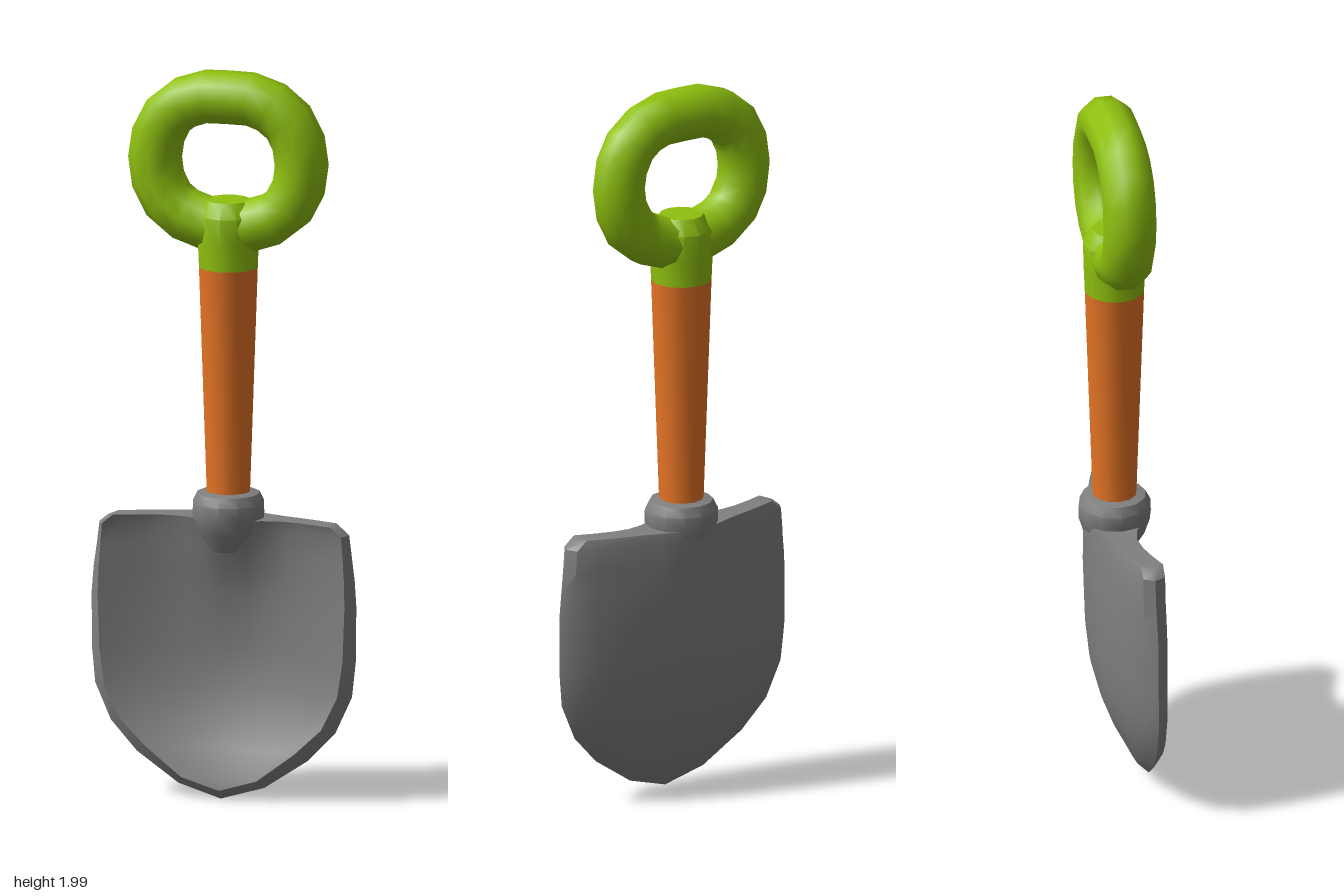
import * as THREE from 'three';
import { toCreasedNormals } from 'three/addons/utils/BufferGeometryUtils.js';

const green = new THREE.MeshStandardMaterial({ color: 0x8fc00f });
green.name = 'green grip';
const orange = new THREE.MeshStandardMaterial({ color: 0xe67425 });
orange.name = 'orange shaft';
const grey = new THREE.MeshStandardMaterial({ color: 0x808080 });
grey.name = 'grey metal';

function part(name, geometry, material) {
  const mesh = new THREE.Mesh(geometry, material);
  mesh.name = name;
  return mesh;
}

// Turned part from [radius, y] pairs, bottom to top
function turned(profile, sides = 12) {
  const points = profile.map(([r, y]) => new THREE.Vector2(r, y));
  return toCreasedNormals(new THREE.LatheGeometry(points, sides), 0.65);
}

// Closed loop grip, mirrored from one half
function gripGeometry() {
  const half = [[0.09, 1.92], [0.165, 1.872], [0.2, 1.8], [0.2, 1.7], [0.155, 1.62], [0.08, 1.582]];
  const mirrored = half.map(([x, y]) => [-x, y]).reverse();
  const path = [[0, 1.927], ...half, [0, 1.572], ...mirrored];
  const curve = new THREE.CatmullRomCurve3(path.map(([x, y]) => new THREE.Vector3(x, y, 0)), true);
  return new THREE.TubeGeometry(curve, 20, 0.073, 10, true);
}

// Dished blade: stacked closed sections with a bevelled rim and a socket swelling
function bladeGeometry() {
  // rim y, rim half width, face y, face half width, back z at centre, back z at edge, thickness
  const rows = [
    [0.765, 0.325, 0.77, 0.305, -0.05, 0.01, 0.06],
    [0.745, 0.35, 0.745, 0.335, -0.055, 0.01, 0.06],
    [0.68, 0.358, 0.68, 0.34, -0.06, 0.01, 0.06],
    [0.62, 0.366, 0.62, 0.344, -0.067, 0.012, 0.06],
    [0.55, 0.371, 0.55, 0.346, -0.07, 0.014, 0.06],
    [0.4, 0.37, 0.4, 0.341, -0.067, 0.015, 0.06],
    [0.3, 0.36, 0.3, 0.326, -0.056, 0.018, 0.06],
    [0.2, 0.315, 0.21, 0.282, -0.032, 0.022, 0.06],
    [0.12, 0.24, 0.14, 0.208, -0.005, 0.03, 0.06],
    [0.04, 0.12, 0.062, 0.105, 0.035, 0.042, 0.055],
    [0.005, 0, 0.03, 0, 0.058, 0.058, 0.037],
  ];
  const cols = 13, loop = cols * 2 + 2;
  const positions = [], index = [];
  for (const [rimY, rimW, y, w, zMid, zEdge, thick] of rows) {
    const swell = Math.max(0, (y - 0.42) / 0.35) ** 1.5;
    const facePoint = (u, front) => {
      const x = u * w;
      const bump = swell * Math.exp(-((x / 0.095) ** 2));
      const z = zMid + (zEdge - zMid) * u * u;
      positions.push(x, y, front ? z + thick + 0.075 * bump : z - 0.037 * bump);
    };
    const rimZ = zEdge + thick * 0.5;
    for (let j = 0; j < cols; j++) facePoint((2 * j) / (cols - 1) - 1, true);
    positions.push(rimW, rimY, rimZ);
    for (let j = 0; j < cols; j++) facePoint(1 - (2 * j) / (cols - 1), false);
    positions.push(-rimW, rimY, rimZ);
  }
  for (let i = 0; i < rows.length - 1; i++) {
    for (let j = 0; j < loop; j++) {
      const k = (j + 1) % loop;
      const a = i * loop + j, b = i * loop + k;
      index.push(a, a + loop, b, b, a + loop, b + loop);
    }
  }
  // top edge
  const back = loop - 2;
  for (let j = 0; j < cols - 1; j++) {
    index.push(j, j + 1, back - j, j + 1, back - j - 1, back - j);
  }
  index.push(cols - 1, cols, cols + 1, back, back + 1, 0);

  const geometry = new THREE.BufferGeometry();
  geometry.setAttribute('position', new THREE.Float32BufferAttribute(positions, 3));
  geometry.setIndex(index);
  return toCreasedNormals(geometry, 0.6);
}

export function createModel() {
  const model = new THREE.Group();
  model.name = 'shovel';

  model.add(part('grip', gripGeometry(), green));
  model.add(part('gripCollar', turned([
    [0.082, 1.46], [0.085, 1.53], [0.087, 1.605], [0.06, 1.645], [0, 1.648],
  ]), green));
  model.add(part('shaft', turned([[0, 0.8], [0.059, 0.8], [0.082, 1.46]]), orange));
  model.add(part('socket', turned([
    [0, 0.66], [0.055, 0.68], [0.085, 0.73], [0.1, 0.775], [0.099, 0.81], [0.086, 0.836], [0.055, 0.842],
  ]), grey));
  model.add(part('blade', bladeGeometry(), grey));
  return model;
}
